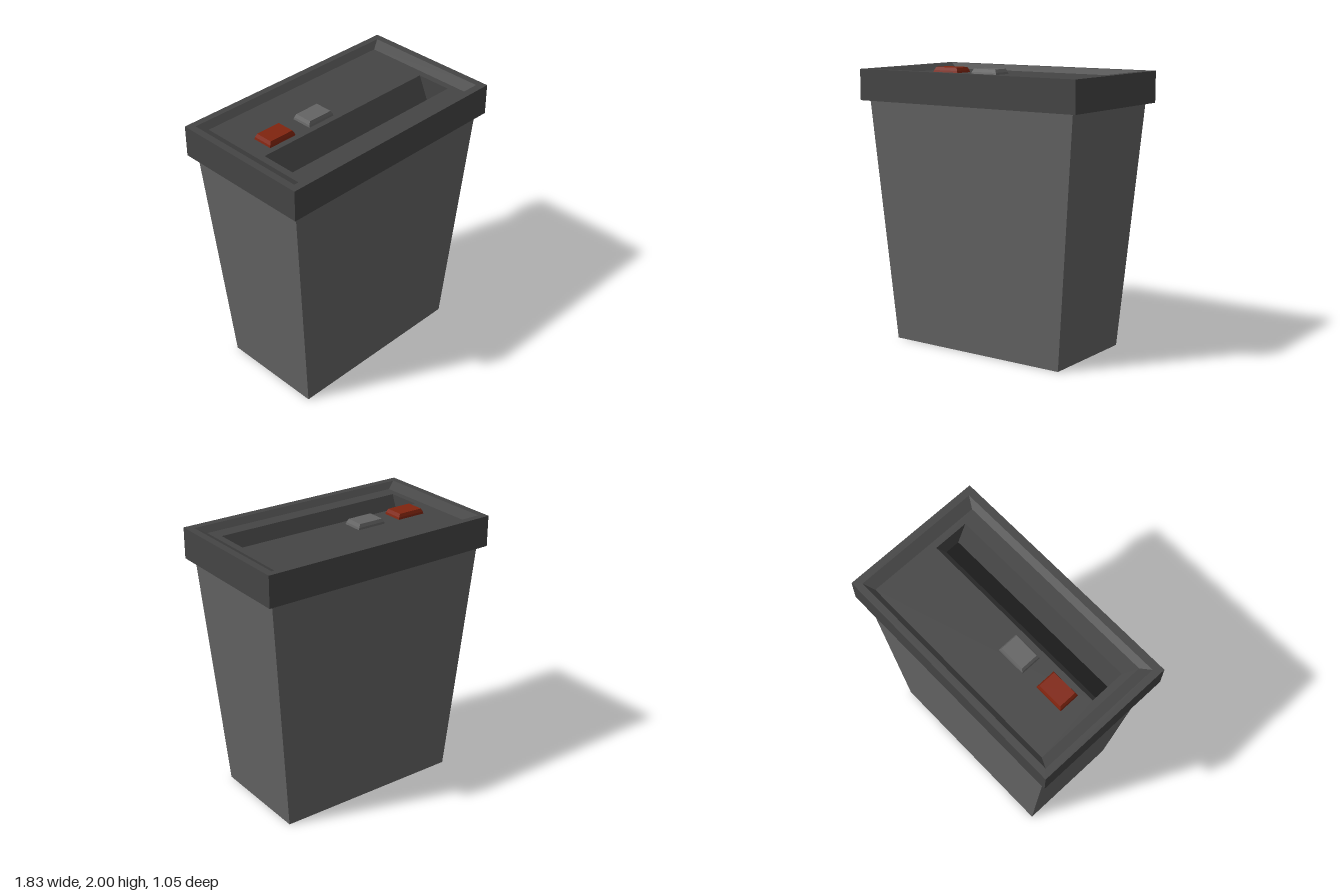
import * as THREE from 'three';

// Rectangular cross-section: x range, z range, height
const rect = (x0, x1, z0, z1, y) => [[x0, y, z1], [x1, y, z1], [x1, y, z0], [x0, y, z0]];
const centred = (hx, hz, y) => rect(-hx, hx, -hz, hz, y);

// Skin a series of rectangles with flat faces; optionally close the first and last
function skin(rings, capStart, capEnd) {
  const pos = [];
  const quad = (a, b, c, d) => pos.push(...a, ...b, ...c, ...a, ...c, ...d);
  for (let r = 0; r < rings.length - 1; r++) {
    const lo = rings[r], hi = rings[r + 1];
    for (let i = 0; i < 4; i++) {
      const j = (i + 1) % 4;
      quad(lo[i], lo[j], hi[j], hi[i]);
    }
  }
  if (capStart) quad(...[...rings[0]].reverse());
  if (capEnd) quad(...rings[rings.length - 1]);
  const geo = new THREE.BufferGeometry();
  geo.setAttribute('position', new THREE.Float32BufferAttribute(pos, 3));
  geo.computeVertexNormals();
  return geo;
}

export function createModel() {
  const group = new THREE.Group();
  const material = (name, color) => {
    const m = new THREE.MeshStandardMaterial({ color });
    m.name = name;
    return m;
  };
  const grey = material('mid grey', 0x646464);
  const dark = material('dark grey', 0x454545);
  const red = material('red', 0x80240f);
  const black = material('black', 0x0e0e0e);

  const add = (name, geo, mat) => {
    const mesh = new THREE.Mesh(geo, mat);
    mesh.name = name;
    group.add(mesh);
  };

  const floorY = 1.96, slotY = 1.78;

  // Tapered bin
  add('bin', skin([centred(0.71, 0.39, 0), centred(0.865, 0.477, 1.775)], true, false), grey);

  // Lid: underside, outer wall, rim, bevelled recess, floor and feed slot walls
  const slotBottom = rect(-0.74, 0.74, 0.14, 0.25, slotY);
  add('lid', skin([
    centred(0.86, 0.474, 1.775),
    centred(0.915, 0.527, 1.775),
    centred(0.915, 0.527, 2),
    rect(-0.864, 0.862, -0.478, 0.472, 2),
    rect(-0.79, 0.788, -0.437, 0.43, floorY),
    rect(-0.74, 0.738, 0.06, 0.322, floorY),
    slotBottom,
  ], false, false), dark);

  // Dark bottom of the feed slot
  add('feedSlotOpening', skin([slotBottom], false, true), black);

  // Bevelled buttons
  const button = (name, x, mat) => add(name, skin([
    rect(x - 0.112, x + 0.112, -0.138, 0.016, floorY),
    rect(x - 0.108, x + 0.108, -0.136, 0.012, floorY + 0.015),
    rect(x - 0.095, x + 0.095, -0.128, 0.004, floorY + 0.038),
  ], false, true), mat);
  button('powerButton', -0.54, red);
  button('reverseButton', -0.19, grey);

  return group;
}
